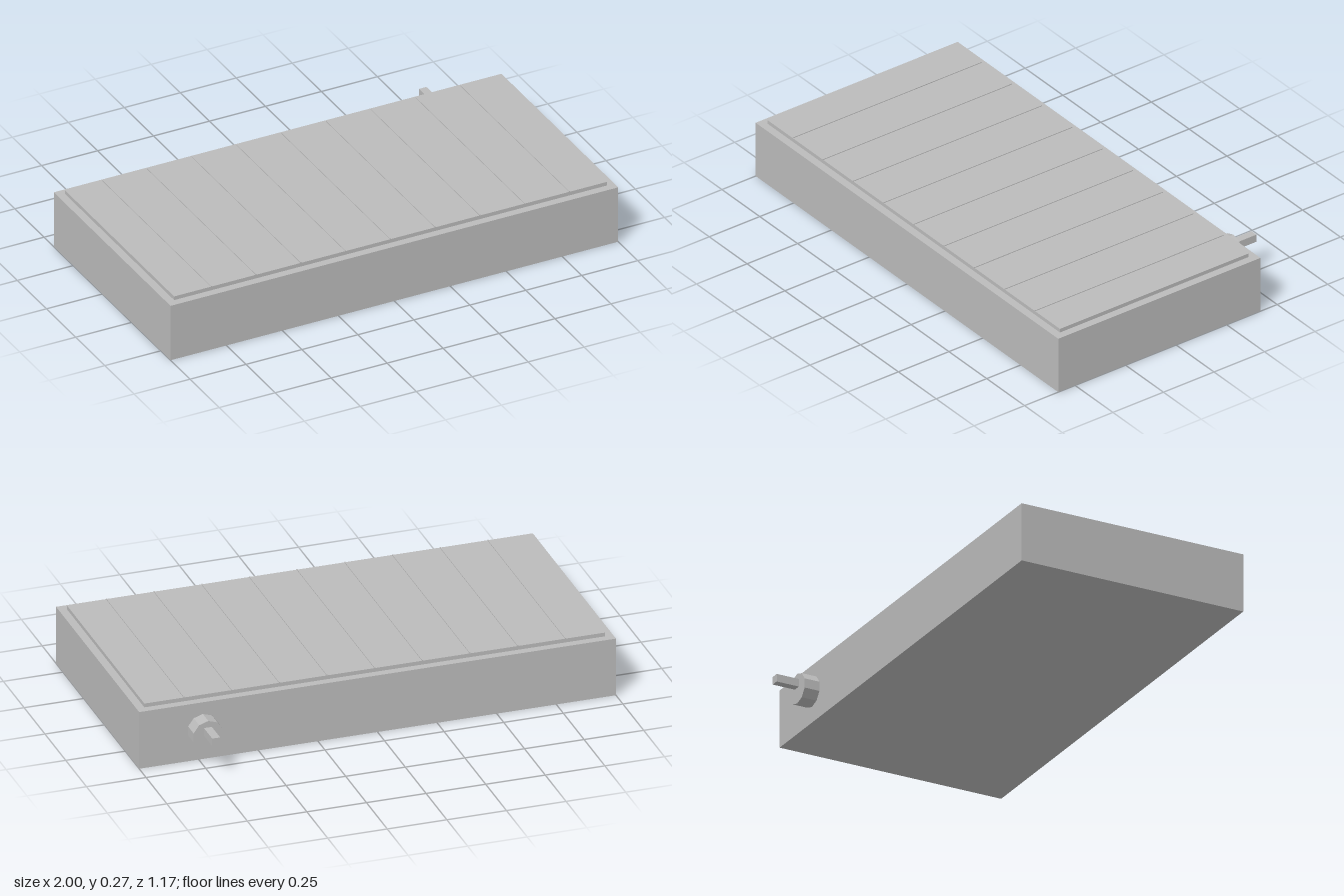
import * as THREE from 'three';

export function createModel() {
  const model = new THREE.Group();
  const grey = new THREE.MeshStandardMaterial({ color: 0xbbbbbb, flatShading: true });
  grey.name = 'grey';

  const add = (name, geometry, x, y, z) => {
    const mesh = new THREE.Mesh(geometry, grey);
    mesh.name = name;
    mesh.position.set(x, y, z);
    model.add(mesh);
    return mesh;
  };

  // Main bed and the raised belt on top of it
  const midZ = 0.0833;
  add('base', new THREE.BoxGeometry(2, 0.25, 1), 0, 0.125, midZ);
  add('belt', new THREE.BoxGeometry(1.933, 0.0167, 0.933), 0, 0.2583, midZ);

  // Fine ribs across the belt
  for (let i = -4; i <= 4; i++) {
    add('beltRib', new THREE.BoxGeometry(0.004, 0.0033, 0.933), i * 0.2, 0.2683, midZ);
  }

  // Motor at the back, with its square shaft set off-centre
  const motor = new THREE.CylinderGeometry(0.065, 0.065, 0.0667, 10).rotateX(-Math.PI / 2);
  add('motor', motor, 0.733, 0.1335, -0.45);
  add('motorShaft', new THREE.BoxGeometry(0.0333, 0.0333, 0.1), 0.735, 0.1535, -0.5333);

  return model;
}
